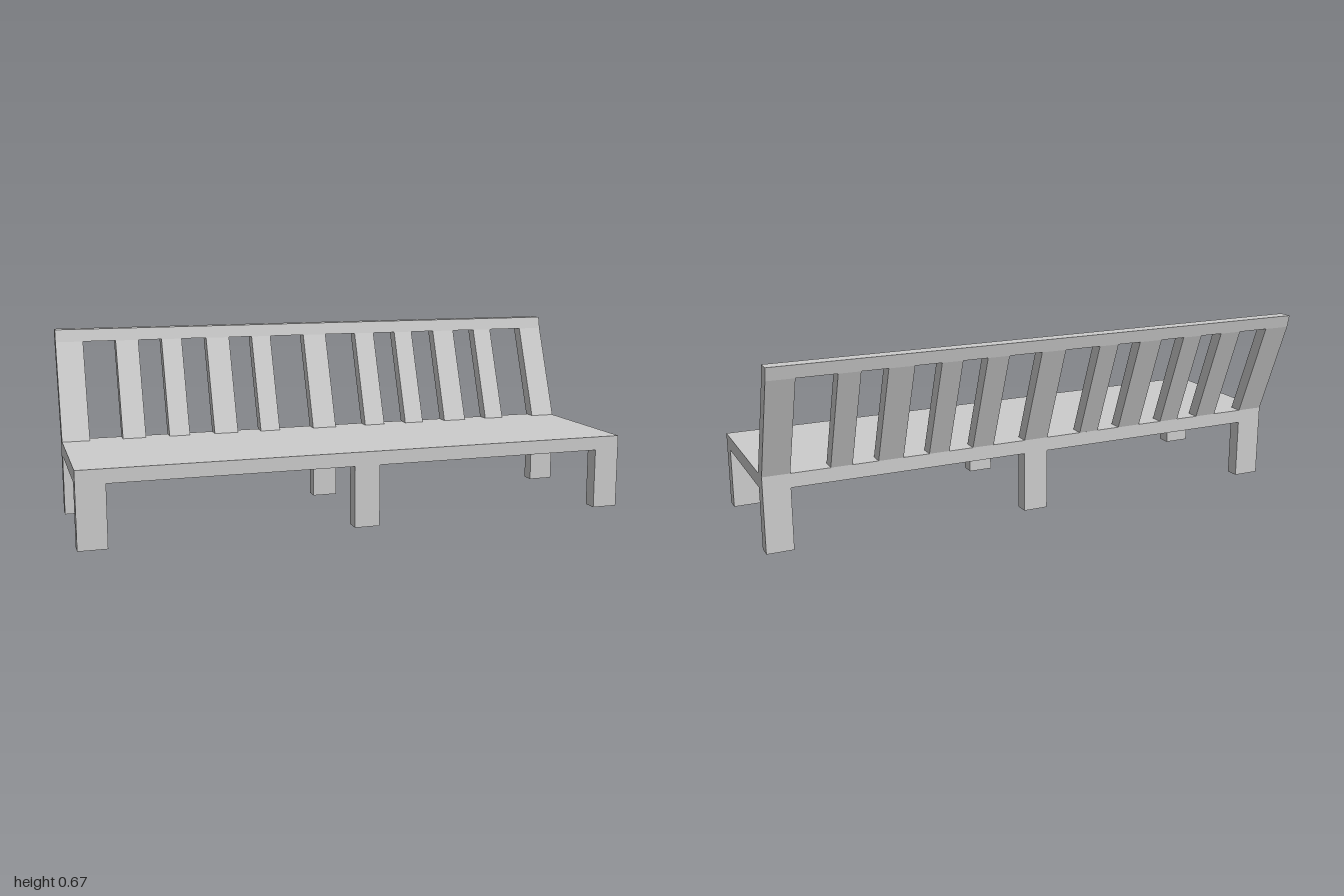
import * as THREE from 'three';

export function createModel() {
  const group = new THREE.Group();
  group.name = 'slattedBench';
  const material = new THREE.MeshStandardMaterial({ color: 0xcccccc, flatShading: true });

  // Extrude a [z, y] side profile from x0 to x1.
  function addProfile(name, profile, x0, x1) {
    const shape = new THREE.Shape(profile.map(([z, y]) => new THREE.Vector2(-z, y)));
    const geometry = new THREE.ExtrudeGeometry(shape, { depth: x1 - x0, bevelEnabled: false });
    geometry.rotateY(Math.PI / 2).translate(x0, 0, 0);
    const mesh = new THREE.Mesh(geometry, material);
    mesh.name = name;
    group.add(mesh);
  }

  const rect = (z0, z1, y0, y1) => [[z0, y0], [z1, y0], [z1, y1], [z0, y1]];
  const seatBottom = 0.22, seatTop = 0.27, railBottom = 0.622, railTop = 0.667;

  // Seat board
  addProfile('seat', rect(0.35, -0.205, seatBottom, seatTop), -1, 1);

  // Three pairs of legs
  for (const [x0, x1] of [[-1, -0.9], [-0.045, 0.047], [0.905, 1]]) {
    addProfile('frontLeg', rect(0.35, 0.296, 0, seatBottom), x0, x1);
    addProfile('backLeg', rect(-0.155, -0.205, 0, seatBottom), x0, x1);
  }

  // Leaning backrest slats, slightly uneven in width and spacing
  const slatProfile = [[-0.155, seatTop], [-0.205, seatTop], [-0.34, railBottom], [-0.29, railBottom]];
  const slats = [
    [-1, -0.9], [-0.78, -0.695], [-0.607, -0.53], [-0.435, -0.345], [-0.255, -0.18], [-0.045, 0.047],
    [0.17, 0.25], [0.34, 0.415], [0.51, 0.60], [0.692, 0.768], [0.905, 1],
  ];
  for (const [x0, x1] of slats) addProfile('backSlat', slatProfile, x0, x1);

  // Top rail, steeper than the slats
  addProfile('topRail', [[-0.29, railBottom], [-0.34, railBottom], [-0.35, railTop], [-0.30, railTop]], -1, 1);

  return group;
}
